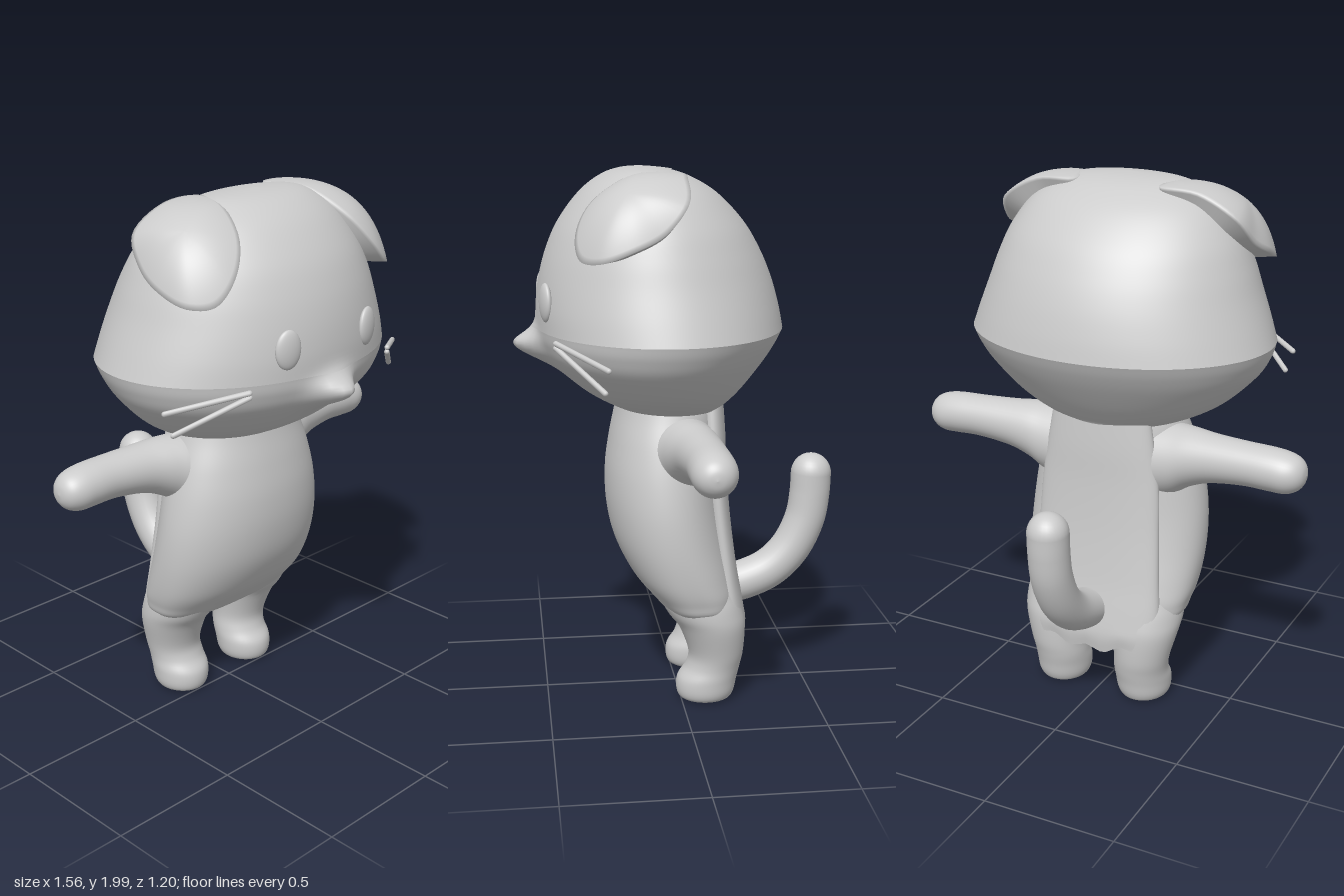
import * as THREE from 'three';

// Smooth interpolation through rows of numbers
function splineRow(rows, t) {
  const n = rows.length - 1, f = t * n, i = Math.min(Math.floor(f), n - 1), u = f - i;
  const a = rows[Math.max(i - 1, 0)], b = rows[i], c = rows[i + 1], d = rows[Math.min(i + 2, n)];
  return b.map((_, k) => 0.5 * (2 * b[k] + (c[k] - a[k]) * u
    + (2 * a[k] - 5 * b[k] + 4 * c[k] - d[k]) * u * u
    + (3 * b[k] - a[k] - 3 * c[k] + d[k]) * u * u * u));
}

// Closed rings of points joined into a smooth skin
function skin(rings) {
  const n = rings[0].length, pos = [], idx = [];
  rings.forEach(r => r.forEach(p => pos.push(p.x, p.y, p.z)));
  for (let i = 0; i < rings.length - 1; i++) {
    for (let j = 0; j < n; j++) {
      const k = (j + 1) % n, a = i * n + j, b = i * n + k;
      idx.push(a, b, b + n, a, b + n, a + n);
    }
  }
  const g = new THREE.BufferGeometry();
  g.setAttribute('position', new THREE.Float32BufferAttribute(pos, 3));
  g.setIndex(idx);
  g.computeVertexNormals();
  return g;
}

// Rounded cross-sections stacked in y:
// [y, half width, front z, back z, centre x, roundness (1 = ellipse, less = squarer)]
function loft(sections, steps, segs, shape = p => p) {
  const rings = [];
  for (let i = 0; i <= steps; i++) {
    const [y, w, zf, zb, cx = 0, e = 1] = splineRow(sections, i / steps);
    const rx = Math.max(w, 0), rz = Math.max((zf - zb) / 2, 0);
    const round = v => Math.sign(v) * Math.abs(v) ** e;
    rings.push(Array.from({ length: segs }, (_, j) => {
      const a = j / segs * Math.PI * 2;
      return shape(new THREE.Vector3(
        cx + rx * round(Math.sin(a)), y, (zf + zb) / 2 + rz * round(Math.cos(a))));
    }));
  }
  return skin(rings);
}

// Copy reflected in x, with corner order reversed
function mirrored(geometry) {
  const g = geometry.clone();
  g.scale(-1, 1, 1);
  const ix = g.index.array;
  for (let i = 0; i < ix.length; i += 3) [ix[i], ix[i + 1]] = [ix[i + 1], ix[i]];
  g.computeVertexNormals();
  return g;
}

// Folded ear: a domed flap inside a curved outline, with a rim sinking into the head
function earGeometry() {
  const v = (x, y, z) => new THREE.Vector3(x, y, z);
  const outline = new THREE.CatmullRomCurve3([
    v(.17, 1.975, 0), v(.32, 1.965, -.005), v(.465, 1.885, .01), v(.505, 1.79, .09), v(.525, 1.735, .2),
    v(.50, 1.695, .31), v(.43, 1.70, .375), v(.35, 1.78, .385), v(.27, 1.885, .325), v(.205, 1.975, .17),
  ], true).getPoints(60).slice(0, 60).reverse();
  const centre = v(.372, 1.86, .186), inside = v(.2, 1.7, .1), normal = v(.515, .8, .29).normalize();
  const rings = [.35, .15, .04].map(s => outline.map(p => p.clone().lerp(inside, s)));
  for (let i = 0; i <= 14; i++) {
    const r = 1 - i / 14;
    rings.push(outline.map(p => {
      const d = p.clone().sub(centre), lift = d.dot(normal);
      return d.addScaledVector(normal, -lift).multiplyScalar(r).add(centre)
        .addScaledVector(normal, r * r * lift + .075 * (1 - r * r));
    }));
  }
  return skin(rings);
}

export function createModel() {
  const model = new THREE.Group();
  const grey = new THREE.MeshStandardMaterial({ color: 0xcccccc, side: THREE.DoubleSide });
  grey.name = 'plain grey';
  const add = (name, geometry) => {
    const m = new THREE.Mesh(geometry, grey);
    m.name = name;
    model.add(m);
    return m;
  };
  const addPair = (name, geometry) => {
    add(name + 'Left', geometry);
    add(name + 'Right', mirrored(geometry));
  };

  // Head in two halves meeting at a cheek crease, with a pointed muzzle
  const muzzle = p => {
    if (p.z > .2) {
      const dy = p.y - 1.355;
      p.z += .1 * Math.exp(-((p.x / .08) ** 2) - (dy / (dy > 0 ? .05 : .065)) ** 2);
    }
    return p;
  };
  add('lowerHead', loft([
    [1.11, 0, .02, .02], [1.112, .2, .18, -.15], [1.135, .3, .25, -.185], [1.2, .42, .36, -.245],
    [1.3, .525, .468, -.32], [1.37, .568, .505, -.365], [1.42, .585, .515, -.39],
  ], 36, 128, muzzle));
  add('upperHead', loft([
    [1.42, .585, .515, -.39], [1.5, .557, .515, -.375], [1.6, .52, .502, -.347], [1.7, .485, .475, -.305],
    [1.8, .44, .43, -.245], [1.9, .365, .355, -.15], [1.96, .27, .28, -.05], [1.987, .17, .21, .04],
    [1.996, 0, .13, .13],
  ], 40, 128, muzzle));
  addPair('ear', earGeometry());

  // Eyes: flattened ovals turned with the face
  const eye = new THREE.SphereGeometry(1, 32, 20);
  eye.scale(.05, .07, .02);
  eye.rotateY(.25);
  eye.translate(.2, 1.53, .485);
  addPair('eye', eye);

  // Whiskers: two rods on each cheek
  [[1.41, .59, 1.35, .29], [1.395, .56, 1.268, .30]].forEach(([y0, x1, y1, z1], i) => {
    const a = new THREE.Vector3(.35, y0, .46), b = new THREE.Vector3(x1, y1, z1);
    const rod = new THREE.CapsuleGeometry(.01, a.distanceTo(b) - .01, 4, 10);
    const turn = new THREE.Quaternion().setFromUnitVectors(
      new THREE.Vector3(0, 1, 0), b.clone().sub(a).normalize());
    rod.applyQuaternion(turn);
    const mid = a.lerp(b, .5);
    rod.translate(mid.x, mid.y, mid.z);
    addPair(i ? 'lowerWhisker' : 'upperWhisker', rod);
  });

  // Torso, squarer towards the hips
  add('torso', loft([
    [.335, 0, -.08, -.08, 0, .75], [.338, .17, .0, -.17, 0, .75], [.365, .305, .06, -.2, 0, .75],
    [.42, .335, .115, -.215, 0, .78], [.5, .352, .18, -.205, 0, .84], [.62, .36, .238, -.185, 0, .92],
    [.75, .355, .264, -.165, 0, .95], [.88, .335, .266, -.155, 0, .95], [1.0, .305, .25, -.15, 0, .95],
    [1.1, .27, .23, -.15, 0, .95], [1.16, .25, .22, -.14, 0, .95],
  ], 60, 80));

  // Back panel hanging behind the torso, with a wavy lower hem
  add('backPanel', loft([
    [.225, .25, -.17, -.25, 0, .85], [.3, .268, -.12, -.258, 0, .85], [.4, .272, -.1, -.243, 0, .85],
    [.52, .262, -.1, -.222, 0, .9], [.7, .25, -.08, -.2, 0, .95], [.88, .24, -.06, -.187, 0, 1],
    [1.02, .22, -.05, -.183, 0, 1], [1.14, .2, -.05, -.175, 0, 1],
  ], 30, 64, p => {
    if (p.y < .34) p.y += (.34 - p.y) * (.1 + .1 * Math.cos(p.x * 45) + 6 * p.x * p.x);
    return p;
  }));

  // Legs with rounded feet, running up inside the hips
  addPair('leg', loft([
    [.008, 0, -.09, -.09, .175], [.01, .075, -.01, -.175, .175], [.035, .1, .015, -.2, .175],
    [.09, .107, .014, -.213, .174], [.14, .106, -.018, -.225, .174], [.2, .109, -.028, -.236, .181],
    [.3, .126, .008, -.24, .189], [.36, .13, .052, -.23, .192], [.42, .12, .08, -.21, .195],
    [.48, .09, .07, -.17, .2], [.52, 0, -.05, -.05, .2],
  ], 50, 40));

  // Arms held straight out, flaring into the shoulders
  const arm = loft([
    [.16, .15, .13, -.14, -.96], [.26, .135, .115, -.137, -.975], [.33, .112, .085, -.132, -.998],
    [.42, .092, .055, -.128, -1.013], [.55, .081, .037, -.128, -1.02], [.65, .08, .035, -.13, -1.018],
    [.71, .076, .031, -.126, -1.014], [.75, .06, .015, -.108, -1.014], [.772, .033, -.012, -.08, -1.014],
    [.779, 0, -.045, -.045, -1.014],
  ], 54, 40);
  arm.rotateZ(-Math.PI / 2);
  addPair('arm', arm);

  // Upturned tail with a rounded tip
  const path = new THREE.CatmullRomCurve3([
    [-.17, .39], [-.27, .41], [-.37, .455], [-.45, .535], [-.505, .65], [-.522, .75], [-.526, .83],
  ].map(([z, y]) => new THREE.Vector3(0, y, z)));
  add('tail', new THREE.TubeGeometry(path, 40, .077, 28));
  add('tailTip', new THREE.SphereGeometry(.077, 28, 18)).position.set(0, .83, -.526);

  return model;
}
